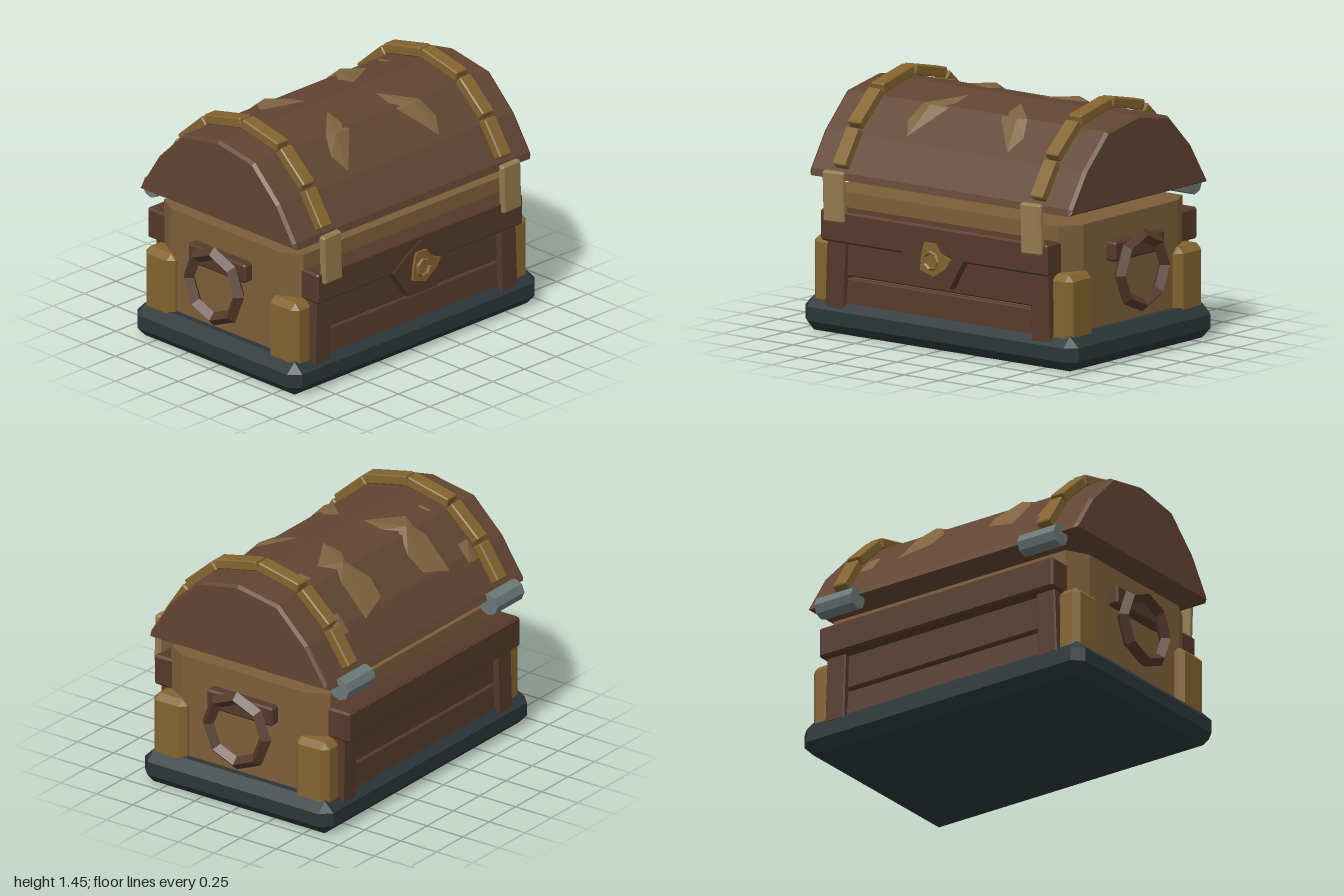
import * as THREE from 'three';
import { ConvexGeometry } from 'three/addons/geometries/ConvexGeometry.js';

const mat = (color, side = THREE.FrontSide) => new THREE.MeshStandardMaterial({ color, flatShading: true, side });
const M = {
  base: mat(0x2c3638), body: mat(0x7d5f3a), lid: mat(0x624532), plank: mat(0x553a2a),
  gold: mat(0x84642f), latch: mat(0x957a4e), steel: mat(0x6c7977),
  chip: mat(0x7f6340, THREE.DoubleSide),
};

// lid cross-section as [z, y], back to front
const LID = [[-0.63, 0.89], [-0.61, 0.93], [-0.48, 1.13], [-0.28, 1.325], [0, 1.375],
  [0.28, 1.325], [0.48, 1.13], [0.61, 0.93], [0.62, 0.89]];

function lidHeight(z) {
  for (let i = 1; i < LID.length; i++) {
    const [z0, y0] = LID[i - 1], [z1, y1] = LID[i];
    if (z <= z1) return y0 + (y1 - y0) * (z - z0) / (z1 - z0);
  }
  return LID[LID.length - 1][1];
}

// box between two corners with every edge chamfered by c
function chamferBox(x0, x1, y0, y1, z0, z1, c) {
  const w = (x1 - x0) / 2, h = (y1 - y0) / 2, d = (z1 - z0) / 2, pts = [];
  for (const a of [-1, 1]) for (const b of [-1, 1]) for (const e of [-1, 1]) {
    pts.push(new THREE.Vector3(a * w, b * (h - c), e * (d - c)),
      new THREE.Vector3(a * (w - c), b * h, e * (d - c)),
      new THREE.Vector3(a * (w - c), b * (h - c), e * d));
  }
  return new ConvexGeometry(pts);
}

export function createModel() {
  const g = new THREE.Group();
  g.name = 'treasureChest';
  const add = (name, geo, m, x = 0, y = 0, z = 0) => {
    const mesh = new THREE.Mesh(geo, m);
    mesh.name = name;
    mesh.position.set(x, y, z);
    g.add(mesh);
    return mesh;
  };
  const block = (name, m, x0, x1, y0, y1, z0, z1, c = 0.008) =>
    add(name, chamferBox(x0, x1, y0, y1, z0, z1, c), m, (x0 + x1) / 2, (y0 + y1) / 2, (z0 + z1) / 2);

  // base slab
  block('base', M.base, -0.98, 0.98, 0, 0.2, -0.655, 0.655, 0.06);

  // body with cut corners
  const bodyPts = [];
  for (const y of [0.12, 0.81]) for (const a of [-1, 1]) for (const b of [-1, 1]) {
    bodyPts.push(new THREE.Vector3(a * 0.88, y, b * 0.425), new THREE.Vector3(a * 0.81, y, b * 0.555));
  }
  add('body', new ConvexGeometry(bodyPts), M.body);

  // front and back boards, rails and posts
  for (const s of [1, -1]) {
    const zr = s > 0 ? 0.575 : -0.59;
    block('topRail', M.plank, -0.815, 0.815, 0.54, 0.722, zr - 0.098, zr + 0.098, 0.012);
    const lower = block('lowerBoard', M.plank, -0.72, 0.72, 0.17, 0.325, s * 0.57 - 0.035, s * 0.57 + 0.035);
    lower.rotation.x = -0.08 * s;
    block('upperBoard', M.plank, -0.72, 0.72, 0.34, 0.56, s * 0.57 - 0.035, s * 0.57 + 0.035);
    for (const k of [1, -1]) {
      const post = block('boardPost', M.plank, k * 0.735 - 0.065, k * 0.735 + 0.065, 0.15, 0.57,
        s * 0.59 - 0.05, s * 0.59 + 0.05);
      post.rotation.z = 0.035 * k;
      // corner post
      block('cornerPost', M.gold, k * 0.855 - 0.075, k * 0.855 + 0.075, 0.13, 0.545,
        s * 0.495 - 0.115, s * 0.495 + 0.115, 0.035);
    }
  }

  // side handles
  for (const k of [1, -1]) {
    block('handleMount', M.plank, k * 0.9 - 0.04, k * 0.9 + 0.04, 0.565, 0.68, -0.24, 0.215, 0.012);
    const ring = add('handleRing', new THREE.TorusGeometry(0.2, 0.04, 4, 8), M.plank, k * 0.957, 0.49, -0.01);
    ring.rotation.y = Math.PI / 2;
  }

  // domed lid
  const lidShape = new THREE.Shape(LID.map(([z, y]) => new THREE.Vector2(-z, y)));
  const lidGeo = new THREE.ExtrudeGeometry(lidShape, {
    depth: 1.84, bevelEnabled: true, bevelThickness: 0.02, bevelSize: 0.015, bevelOffset: -0.015, bevelSegments: 1,
  });
  lidGeo.translate(0, 0, -0.92).rotateY(Math.PI / 2);
  add('lid', lidGeo, M.lid);

  // segmented lid straps, latches and hinges
  const segs = [[0.62, 0.965, 0.49, 1.16], [0.487, 1.18, 0.295, 1.35], [0.287, 1.364, 0.003, 1.426]];
  for (const k of [1, -1]) {
    for (const s of [1, -1]) for (const [z0, y0, z1, y1] of segs) {
      const len = Math.hypot(z1 - z0, y1 - y0);
      const seg = add('lidStrap', chamferBox(-0.045, 0.045, -0.03, 0.03, -len / 2, len / 2, 0.007), M.gold,
        k * 0.71, (y0 + y1) / 2, s * (z0 + z1) / 2);
      seg.rotation.x = -Math.atan2(y1 - y0, s * (z1 - z0));
    }
    const latch = block('latch', M.latch, k * 0.71 - 0.074, k * 0.71 + 0.074, 0.655, 0.95, 0.65, 0.695, 0.012);
    latch.rotation.z = 0.03;
    const hinge = add('hinge', new THREE.CylinderGeometry(0.066, 0.066, 0.255, 8), M.steel, k * 0.708, 0.868, -0.635);
    hinge.rotation.z = Math.PI / 2;
  }

  // lock plate, lock and keyhole ring
  const plate = new THREE.Shape([[-0.22, 0.55], [-0.1, 0.375], [0.12, 0.375], [0.22, 0.55], [0.1, 0.64],
    [0, 0.69], [-0.1, 0.64]].map(p => new THREE.Vector2(...p)));
  add('lockPlate', new THREE.ExtrudeGeometry(plate, { depth: 0.055, bevelEnabled: false }), M.plank, 0, 0, 0.625);
  const lock = new THREE.Shape([[-0.08, 0.47], [0.02, 0.44], [0.11, 0.5], [0.14, 0.55], [0.06, 0.58],
    [0.03, 0.63], [-0.05, 0.63], [-0.07, 0.56]].map(p => new THREE.Vector2(...p)));
  add('lock', new THREE.ExtrudeGeometry(lock, { depth: 0.015, bevelEnabled: false }), M.gold, 0, 0, 0.68);
  add('keyholeRing', new THREE.TorusGeometry(0.05, 0.012, 4, 7), M.gold, 0, 0.53, 0.693);

  // worn chips on the lid: raised fans of [x, z] points around a centre
  const chips = [
    [0.31, 0.31, 0.03, [[0.19, 0.12], [0.19, 0.3], [0.36, 0.46], [0.415, 0.38], [0.37, 0.29]]],
    [0.3, -0.27, 0.03, [[0.2, -0.46], [0.4, -0.5], [0.4, -0.33], [0.36, -0.27], [0.42, -0.18],
      [0.19, -0.05], [0.19, -0.18], [0.25, -0.25], [0.18, -0.37]]],
    [0.615, -0.47, 0.02, [[0.57, -0.43], [0.57, -0.51], [0.66, -0.51], [0.66, -0.43]]],
    [0.57, -0.2, 0.015, [[0.555, -0.16], [0.585, -0.16], [0.585, -0.24], [0.555, -0.23]]],
  ];
  for (const k of [1, -1]) for (const [cx, cz, lift, pts] of chips) {
    const v = [];
    const put = (x, z, up) => v.push(k * x, lidHeight(z) + up, z);
    pts.forEach(([x, z], i) => {
      const [x2, z2] = pts[(i + 1) % pts.length];
      put(cx, cz, lift); put(x, z, 0.01); put(x2, z2, 0.01);
    });
    const geo = new THREE.BufferGeometry();
    geo.setAttribute('position', new THREE.Float32BufferAttribute(v, 3));
    geo.computeVertexNormals();
    add('lidChip', geo, M.chip);
  }
  return g;
}
